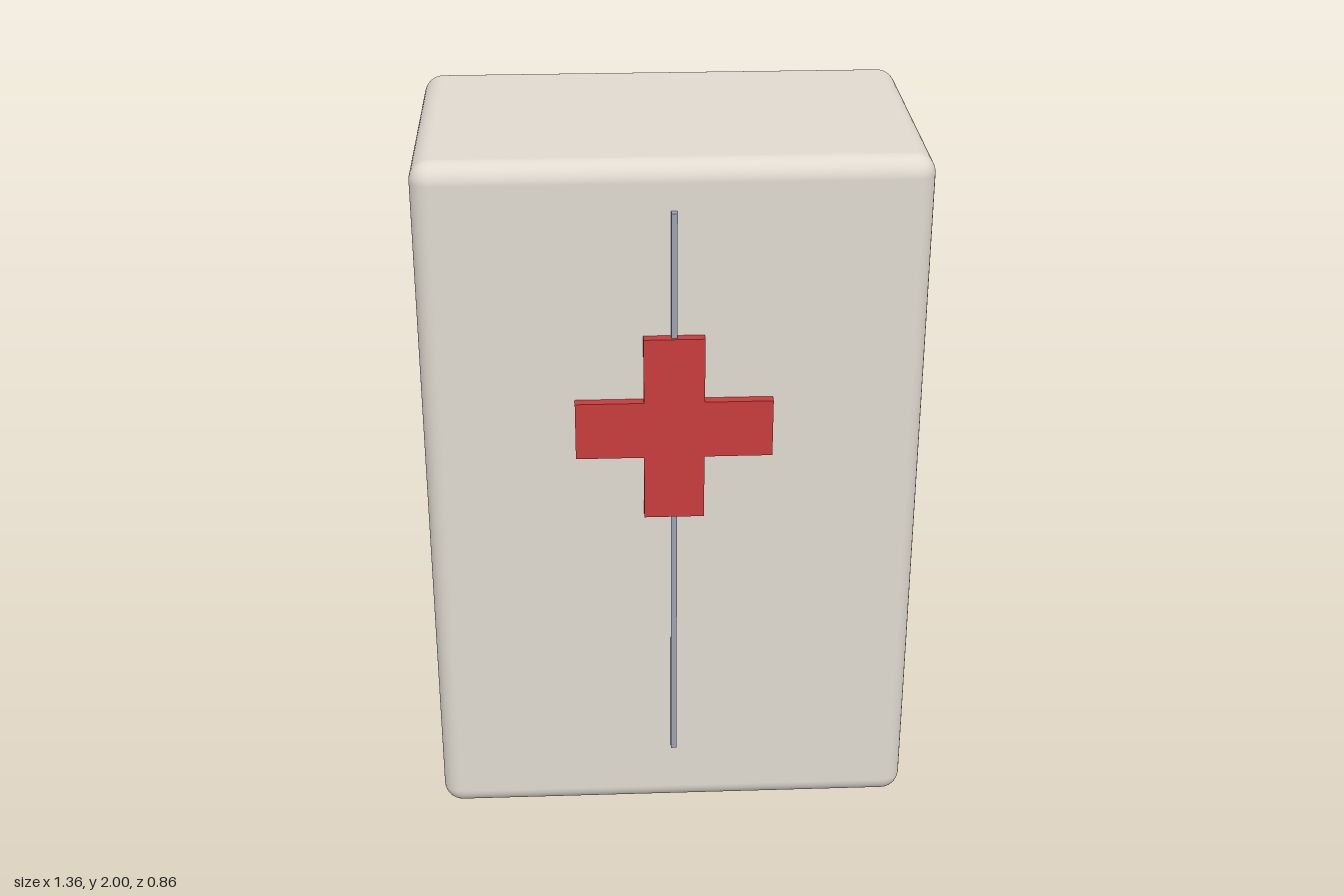
import * as THREE from 'three';
import { RoundedBoxGeometry } from 'three/addons/geometries/RoundedBoxGeometry.js';

const BACK = -0.43, FRONT = 0.4;

function addPart(group, name, geometry, color, x, y, z) {
  const mesh = new THREE.Mesh(geometry, new THREE.MeshStandardMaterial({ color }));
  mesh.name = name;
  mesh.position.set(x, y, z);
  group.add(mesh);
}

// Plus-shaped outline: half length of the arms and half their width
function plusShape(length, width) {
  const points = [];
  for (let i = 0; i < 4; i++) {
    const corner = [[length, -width], [length, width], [width, width]];
    for (const [x, y] of corner) {
      points.push(new THREE.Vector2(x, y).rotateAround(new THREE.Vector2(), i * Math.PI / 2));
    }
  }
  return new THREE.Shape(points);
}

export function createModel() {
  const group = new THREE.Group();
  group.name = 'medicineCabinet';

  // Cabinet body with softly rounded edges
  addPart(group, 'cabinetBody', new RoundedBoxGeometry(1.36, 2, FRONT - BACK, 5, 0.055),
    0xe0dad0, 0, 1, (FRONT + BACK) / 2);

  // Thin strip along the middle of the front, where the doors meet
  addPart(group, 'doorSeam', new THREE.BoxGeometry(0.016, 1.665, 0.03),
    0x9aa3b0, 0, 1.0375, FRONT + 0.005);

  // Raised cross on the front, over the strip
  const cross = new THREE.ExtrudeGeometry(plusShape(0.267, 0.082), { depth: 0.038, bevelEnabled: false });
  addPart(group, 'frontCross', cross, 0xc83c3c, 0, 1.253, FRONT - 0.01);

  return group;
}
